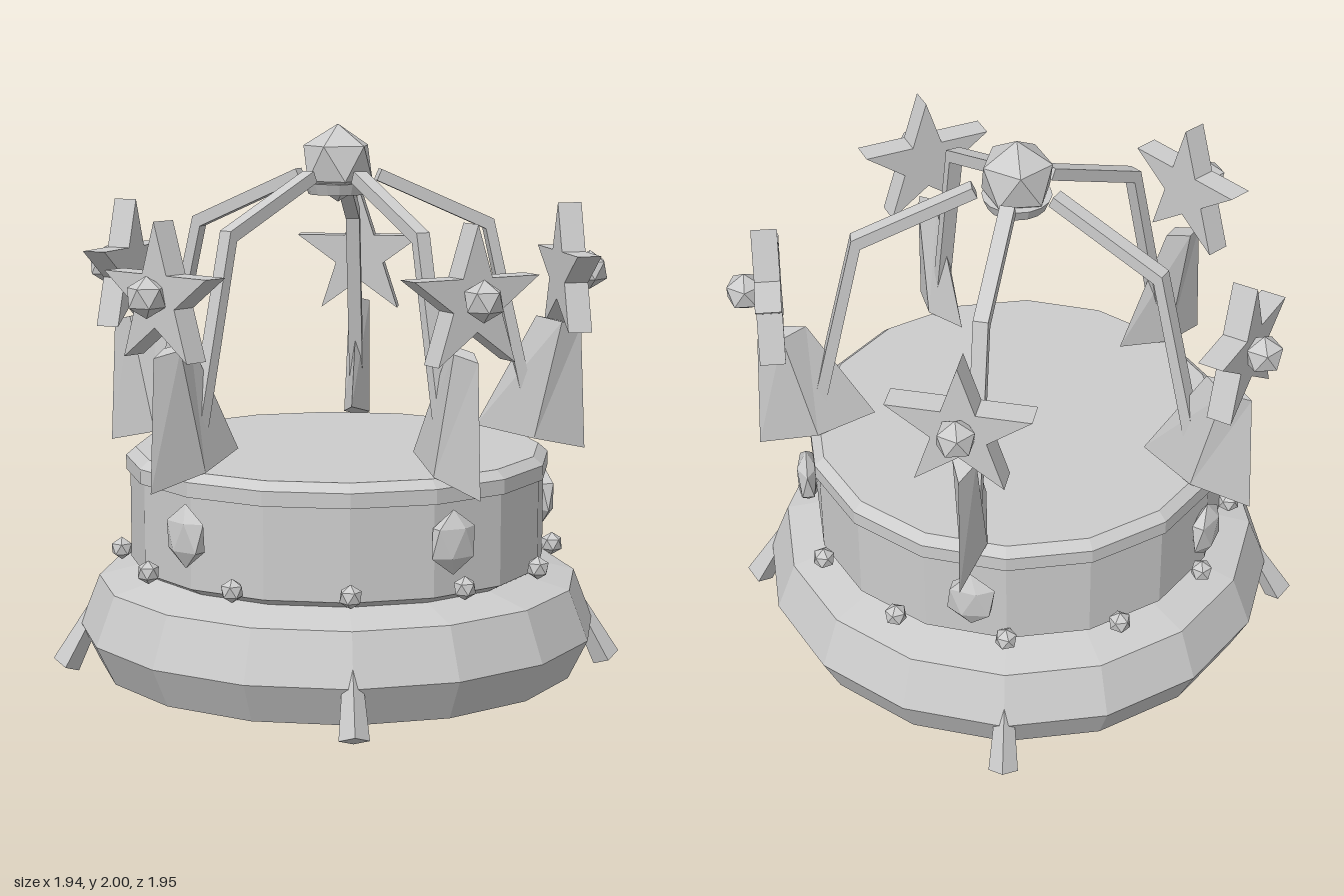
import * as THREE from 'three';

const paleGrey = new THREE.MeshStandardMaterial({ color: 0xcccccc });
paleGrey.name = 'paleGrey';

// Mesh with hard facets
function part(name, geometry, x = 0, y = 0, z = 0) {
  const g = geometry.index ? geometry.toNonIndexed() : geometry;
  g.computeVertexNormals();
  const mesh = new THREE.Mesh(g, paleGrey);
  mesh.name = name;
  mesh.position.set(x, y, z);
  return mesh;
}

// Twenty-sided stone standing on a vertex
function stone(rx, ry = rx, rz = rx) {
  return new THREE.IcosahedronGeometry(1, 0)
    .rotateZ(Math.atan(2 / (1 + Math.sqrt(5))))
    .rotateY(Math.PI)
    .scale(rx, ry, rz);
}

// Diamond-section taper; each end is [half width, half depth], leaning towards +z
function taper(top, bottom, length, lean) {
  const g = new THREE.CylinderGeometry(1, 1, length, 4);
  const p = g.attributes.position;
  for (let i = 0; i < p.count; i++) {
    const [w, d] = p.getY(i) > 0 ? top : bottom;
    p.setX(i, p.getX(i) * w);
    p.setZ(i, p.getZ(i) * d);
  }
  return g.rotateX(lean);
}

function extrude(points, depth) {
  const shape = new THREE.Shape(points.map(([x, y]) => new THREE.Vector2(x, y)));
  return new THREE.ExtrudeGeometry(shape, { depth, bevelEnabled: false }).translate(0, 0, -depth / 2);
}

function lathe(points, sides = 16) {
  return new THREE.LatheGeometry(points.map(([r, y]) => new THREE.Vector2(r, y)), sides);
}

function starGeometry() {
  const points = [];
  for (let i = 0; i < 10; i++) {
    const r = i % 2 ? 0.098 : 0.256;
    const a = Math.PI / 2 + (i * Math.PI) / 5;
    points.push([r * Math.cos(a), r * Math.sin(a)]);
  }
  return extrude(points, 0.09);
}

// Bent bar drawn in the radial plane
function archGeometry() {
  return extrude([
    [0.704, 0.925], [0.746, 0.935], [0.575, 1.653],
    [0.156, 1.838], [0.138, 1.798], [0.545, 1.617],
  ], 0.052).rotateY(-Math.PI / 2);
}

// Repeat a group of parts around the vertical axis
function around(parent, name, count, start, build) {
  for (let i = 0; i < count; i++) {
    const g = new THREE.Group();
    g.name = name;
    g.add(...build());
    g.rotation.y = start + (i * 2 * Math.PI) / count;
    parent.add(g);
  }
}

export function createModel() {
  const model = new THREE.Group();
  model.name = 'crown';
  const body = new THREE.Group();
  body.name = 'crownBody';
  body.position.z = -0.028;
  model.add(body);

  // Padded base and head band
  body.add(part('base', lathe([
    [0, 0.04], [0.873, 0.04], [0.943, 0.183], [0.873, 0.362], [0.7, 0.405], [0, 0.405],
  ])));
  body.add(part('band', lathe([
    [0, 0.4], [0.7, 0.4], [0.755, 0.43], [0.755, 0.755], [0.77, 0.755],
    [0.77, 0.807], [0.735, 0.837], [0, 0.837],
  ])));

  // Orb on its collar
  body.add(part('orbCollar', lathe([[0, 1.75], [0.105, 1.75], [0.122, 1.79], [0, 1.79]])));
  body.add(part('orb', stone(0.139), 0, 1.861, 0));

  // Five spokes: blade, star, stones and arch
  around(body, 'spoke', 5, 0, () => [
    part('blade', taper([0.04, 0.089], [0.05, 0.217], 0.442, 0.237), 0, 1.056, 0.782),
    part('star', starGeometry(), 0, 1.45, 0.869),
    part('starStone', stone(0.072), 0, 1.457, 0.95),
    part('bandStone', stone(0.095, 0.113, 0.042), 0, 0.622, 0.779),
    part('arch', archGeometry()),
  ]);

  // Beads along the lower edge of the band
  around(body, 'beadMount', 12, Math.PI / 12, () => [part('bead', stone(0.042), 0, 0.46, 0.79)]);

  // Four splayed feet
  around(body, 'footMount', 4, Math.PI / 4, () => [
    part('foot', taper([0.03, 0.03], [0.052, 0.052], 0.255, -0.49), 0, 0.1375, 0.94),
  ]);

  return model;
}
